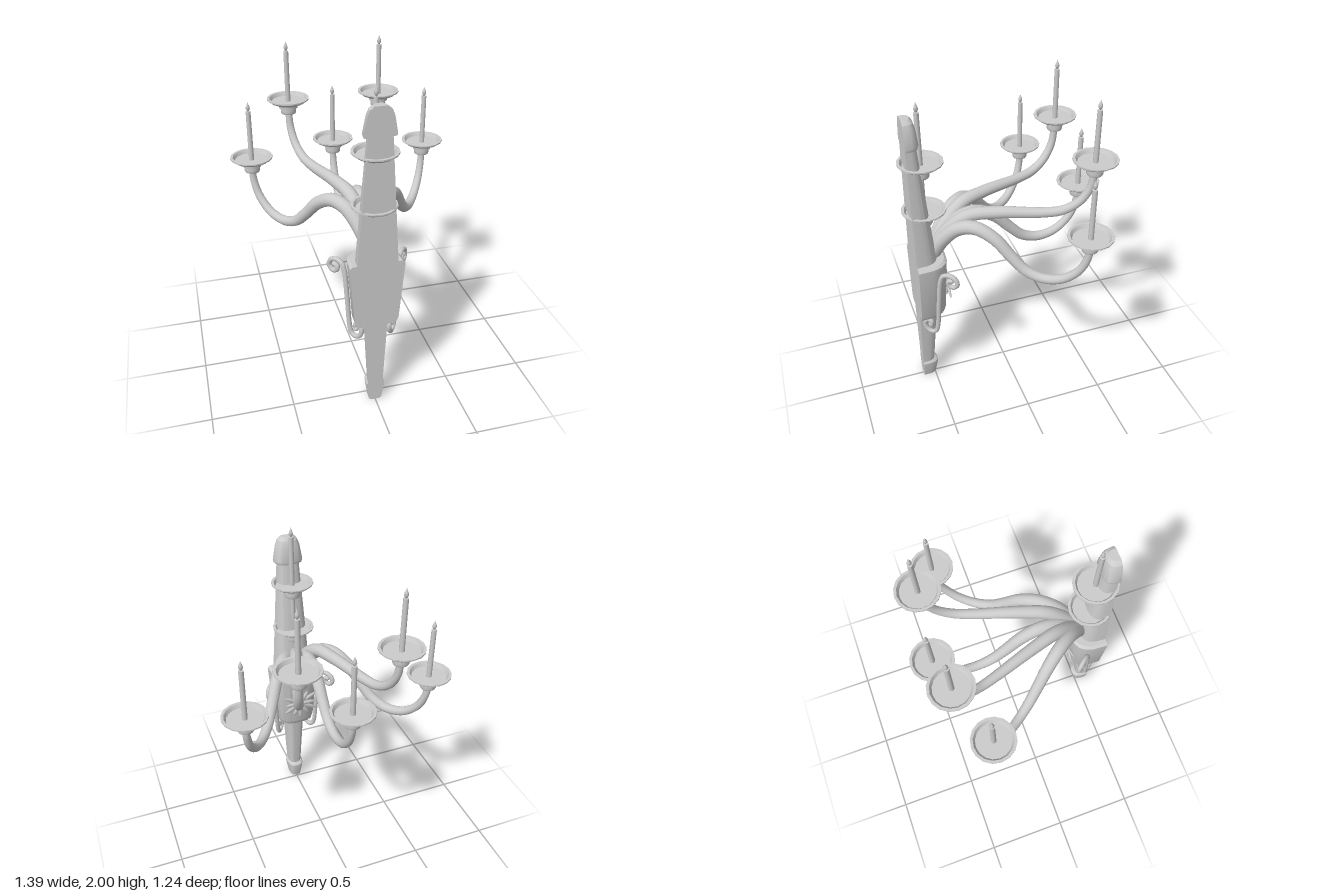
import * as THREE from 'three';
import { toCreasedNormals } from 'three/addons/utils/BufferGeometryUtils.js';

const BACK = 0.58; // z of the flat wall side
const mat = new THREE.MeshStandardMaterial({ color: 0xcccccc });
const V2 = (p) => new THREE.Vector2(p[0], p[1]);

function add(parent, name, geometry) {
  const mesh = new THREE.Mesh(geometry, mat);
  mesh.name = name;
  parent.add(mesh);
  return mesh;
}

const lathe = (points, sides) =>
  toCreasedNormals(new THREE.LatheGeometry(points.map(V2), sides), 0.6);

// Half-round body, flat at the wall, from sections [y, half width, depth]
function halfRound(sections, power = 0.65, n = 10) {
  const pos = [];
  const rings = sections.map(([y, w, d]) => {
    const ring = [];
    for (let j = 0; j <= n; j++) {
      const a = (Math.PI * j) / n;
      const c = Math.cos(a), s = Math.max(0, Math.sin(a));
      const x = w * Math.sign(c) * Math.abs(c) ** power;
      ring.push([x, y, BACK - d * (j === n ? 0 : s ** power)]);
    }
    return ring;
  });
  const m = n + 1;
  for (let i = 0; i < rings.length - 1; i++) {
    for (let j = 0; j < m; j++) {
      const a = rings[i][j], b = rings[i][(j + 1) % m];
      const c = rings[i + 1][(j + 1) % m], d = rings[i + 1][j];
      pos.push(...a, ...b, ...c, ...a, ...c, ...d);
    }
  }
  const bottom = rings[0], top = rings[rings.length - 1];
  for (let j = 1; j < m - 1; j++) {
    pos.push(...top[0], ...top[j], ...top[j + 1]);
    pos.push(...bottom[0], ...bottom[j + 1], ...bottom[j]);
  }
  const g = new THREE.BufferGeometry();
  g.setAttribute('position', new THREE.Float32BufferAttribute(pos, 3));
  return toCreasedNormals(g, 0.4);
}

// Tube whose radius shrinks from r0 to r1
function taperedTube(points, r0, r1, segments = 48, sides = 12) {
  const curve = new THREE.CatmullRomCurve3(points, false, 'centripetal');
  const g = new THREE.TubeGeometry(curve, segments, 1, sides);
  const p = g.attributes.position, v = new THREE.Vector3();
  for (let i = 0; i <= segments; i++) {
    const t = i / segments, c = curve.getPointAt(t);
    const r = r0 + (r1 - r0) * t;
    for (let j = 0; j <= sides; j++) {
      const k = i * (sides + 1) + j;
      v.fromBufferAttribute(p, k).sub(c).multiplyScalar(r).add(c);
      p.setXYZ(k, v.x, v.y, v.z);
    }
  }
  return g;
}

// Drip plate, socket, candle and flame; y = 0 at the plate's underside
function candleHolder(x, y, z) {
  const g = new THREE.Group();
  g.name = 'candleHolder';
  add(g, 'socket', lathe([[0, -0.06], [0.045, -0.06], [0.049, -0.052], [0.047, -0.028],
    [0.058, -0.024], [0.06, 0.002]], 16));
  add(g, 'dripPlate', lathe([[0, 0], [0.075, 0], [0.11, 0.016], [0.122, 0.03], [0.132, 0.032],
    [0.132, 0.04], [0.116, 0.04], [0.104, 0.018], [0, 0.018]], 16));
  add(g, 'candle', new THREE.CylinderGeometry(0.015, 0.016, 0.32, 12)).position.y = 0.175;
  add(g, 'flame', new THREE.LatheGeometry([[0, 0.333], [0.005, 0.337], [0.013, 0.352],
    [0.011, 0.366], [0.005, 0.38], [0, 0.395]].map(V2), 10));
  g.position.set(x, y, z);
  return g;
}

// Arm paths: [fraction of the reach, height]
const LOW = [[0, 1.0], [0.08, 1.12], [0.19, 1.22], [0.3, 1.243], [0.42, 1.19], [0.53, 1.08],
  [0.62, 1.0], [0.73, 0.966], [0.85, 0.99], [0.95, 1.075], [0.995, 1.18], [1, 1.25]];
const HIGH = [[0, 1.0], [0.1, 1.16], [0.24, 1.272], [0.42, 1.293], [0.7, 1.288], [0.82, 1.302],
  [0.92, 1.36], [0.98, 1.45], [1, 1.56]];

function arm(x, z, path, plateY) {
  const g = new THREE.Group();
  g.name = 'candleArm';
  const z0 = 0.46;
  const points = path.map(([f, y]) => new THREE.Vector3(x * f, y, z0 + (z - z0) * f));
  add(g, 'armTube', taperedTube(points, 0.05, 0.021));
  g.add(candleHolder(x, plateY, z));
  return g;
}

// Scroll path in its own diagonal plane: [distance outward, height]
const SCROLL = [[-0.065, 0.527], [-0.058, 0.55], [-0.082, 0.565], [-0.105, 0.535], [-0.097, 0.493],
  [-0.065, 0.47], [-0.034, 0.482], [-0.02, 0.52], [0.0, 0.72], [0.02, 0.9], [0.04, 0.945],
  [0.08, 0.958], [0.118, 0.94], [0.13, 0.905], [0.105, 0.877], [0.075, 0.888], [0.072, 0.915],
  [0.092, 0.922]];

export function createModel() {
  const model = new THREE.Group();
  model.name = 'wallCandelabra';

  // Wall column
  const column = new THREE.Group();
  column.name = 'column';
  model.add(column);
  add(column, 'foot', halfRound([[0, 0.028, 0.065], [0.012, 0.04, 0.085], [0.11, 0.056, 0.105],
    [0.125, 0.057, 0.105], [0.138, 0.048, 0.09]]));
  add(column, 'lowerShaft', halfRound([[0.13, 0.045, 0.08], [0.59, 0.066, 0.125]]));
  add(column, 'body', halfRound([[0.572, 0.1, 0.14], [0.582, 0.122, 0.165], [0.61, 0.133, 0.178],
    [0.965, 0.161, 0.198], [0.985, 0.161, 0.2], [0.998, 0.145, 0.185]]));
  add(column, 'upperShaft', halfRound([[0.99, 0.12, 0.14], [1.78, 0.066, 0.07]]));
  add(column, 'topCap', halfRound([[1.755, 0.088, 0.082], [1.77, 0.091, 0.086], [1.865, 0.074, 0.076],
    [1.9, 0.06, 0.066], [1.92, 0.035, 0.05]]));

  // Holders set into the column
  for (const y of [1.605, 1.29]) model.add(candleHolder(0, y, 0.488));

  // Five arms fanning out
  model.add(arm(0, -0.49, LOW, 1.29));
  for (const s of [1, -1]) {
    model.add(arm(s * 0.295, -0.445, HIGH, 1.605));
    model.add(arm(s * 0.563, -0.315, LOW, 1.29));

    // Diagonal side scrolls
    const points = SCROLL.map(([d, y]) =>
      new THREE.Vector3(s * (0.15 + 0.62 * d), y, 0.47 - 0.78 * d));
    const scroll = new THREE.Group();
    scroll.name = 'sideScroll';
    add(scroll, 'scrollTube', taperedTube(points, 0.015, 0.015, 90, 8));
    for (const p of [points[0], points[points.length - 1]])
      add(scroll, 'scrollTip', new THREE.SphereGeometry(0.017, 10, 8)).position.copy(p);
    model.add(scroll);
  }

  // Flower on the body
  const flower = new THREE.Group();
  flower.name = 'flower';
  const petal = new THREE.SphereGeometry(1, 10, 6);
  for (let i = 0; i < 12; i++) {
    const len = i % 2 ? 0.105 : 0.13, a = (i * Math.PI) / 6;
    const holder = new THREE.Group();
    holder.rotation.z = a;
    const mesh = add(holder, 'petal', petal);
    mesh.scale.set(0.015, len / 2, 0.009);
    mesh.position.set(0, len / 2, i % 2 ? -0.006 : 0);
    flower.add(holder);
  }
  const heart = add(flower, 'flowerCentre', new THREE.SphereGeometry(0.024, 12, 8));
  heart.position.z = -0.012;
  flower.position.set(0, 0.775, 0.382);
  model.add(flower);

  return model;
}
